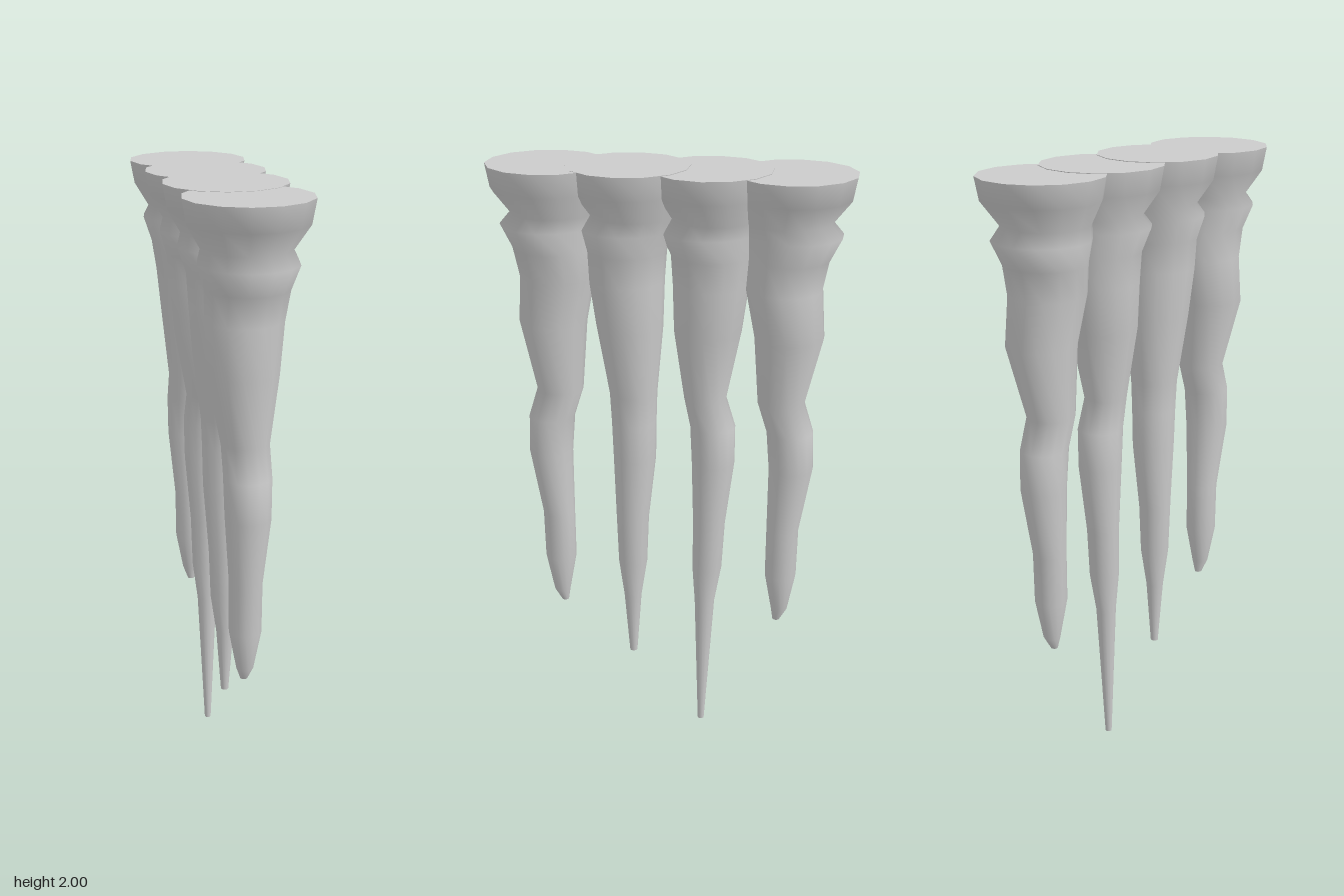
import * as THREE from 'three';

const SIDES = 14;
const material = new THREE.MeshStandardMaterial({ color: 0xcccccc });

// Flared root shared by every icicle; each row is [y, radius, z centre, x centre]
const root = (z) => [
  [2, 0.193, z, 0], [1.925, 0.18, z, 0], [1.85, 0.136, z - 0.015, 0], [1.81, 0.151, z + 0.005, 0],
];

const outerRows = [
  ...root(0.382),
  [1.735, 0.128, 0.373, 0], [1.64, 0.12, 0.363, -0.005], [1.487, 0.11, 0.385, -0.014],
  [1.26, 0.076, 0.366, 0], [1.16, 0.076, 0.398, 0], [1.03, 0.073, 0.406, 0],
  [0.8, 0.054, 0.387, 0], [0.63, 0.053, 0.386, 0], [0.495, 0.028, 0.386, 0], [0.45, 0.012, 0.377, 0],
];

const mediumRows = [
  ...root(0.128),
  [1.735, 0.126, 0.135, 0], [1.64, 0.12, 0.136, 0], [1.487, 0.107, 0.128, 0],
  [1.26, 0.078, 0.119, 0], [1.16, 0.074, 0.118, 0], [1.03, 0.071, 0.117, 0],
  [0.8, 0.055, 0.127, 0], [0.63, 0.049, 0.128, 0], [0.495, 0.03, 0.13, 0], [0.265, 0.013, 0.13, 0],
];

const longRows = [
  ...root(-0.128),
  [1.735, 0.128, -0.135, 0], [1.64, 0.12, -0.133, 0], [1.487, 0.108, -0.125, 0],
  [1.26, 0.069, -0.119, 0], [1.16, 0.074, -0.145, 0], [1.03, 0.071, -0.148, 0],
  [0.8, 0.054, -0.137, 0], [0.63, 0.05, -0.132, 0], [0.495, 0.034, -0.125, 0], [0, 0.011, -0.117, 0],
];

// Smooth wall lofted through the rows, with separate flat caps at both ends
function icicleGeometry(rows) {
  const positions = [], indices = [];
  const addRing = ([y, r, z, x]) => {
    const start = positions.length / 3;
    for (let i = 0; i < SIDES; i++) {
      const a = (i / SIDES) * Math.PI * 2;
      positions.push(x + r * Math.cos(a), y, z + r * Math.sin(a));
    }
    return start;
  };

  rows.forEach((row, j) => {
    const low = addRing(row), high = low - SIDES;
    if (j === 0) return;
    for (let i = 0; i < SIDES; i++) {
      const n = (i + 1) % SIDES;
      indices.push(high + i, high + n, low + i, high + n, low + n, low + i);
    }
  });

  const addCap = (row, up) => {
    const ring = addRing(row);
    for (let i = 1; i < SIDES - 1; i++) {
      if (up) indices.push(ring, ring + i + 1, ring + i);
      else indices.push(ring, ring + i, ring + i + 1);
    }
  };
  addCap(rows[0], true);
  addCap(rows[rows.length - 1], false);

  const geometry = new THREE.BufferGeometry();
  geometry.setAttribute('position', new THREE.Float32BufferAttribute(positions, 3));
  geometry.setIndex(indices);
  geometry.computeVertexNormals();
  return geometry;
}

export function createModel() {
  const group = new THREE.Group();
  group.name = 'icicleRow';

  const addIcicle = (name, rows, drop = 0, turn = 0) => {
    // A tiny drop of the top rim keeps the overlapping caps apart
    const lowered = rows.map((row, j) => (j === 0 ? [row[0] - drop, ...row.slice(1)] : row));
    const mesh = new THREE.Mesh(icicleGeometry(lowered), material);
    mesh.name = name;
    mesh.rotation.y = turn;
    group.add(mesh);
  };

  addIcicle('frontIcicle', outerRows, 0.001);
  addIcicle('mediumIcicle', mediumRows);
  addIcicle('longIcicle', longRows, 0.002);
  // The back icicle is the front one turned half way round
  addIcicle('backIcicle', outerRows, 0.004, Math.PI);
  return group;
}
